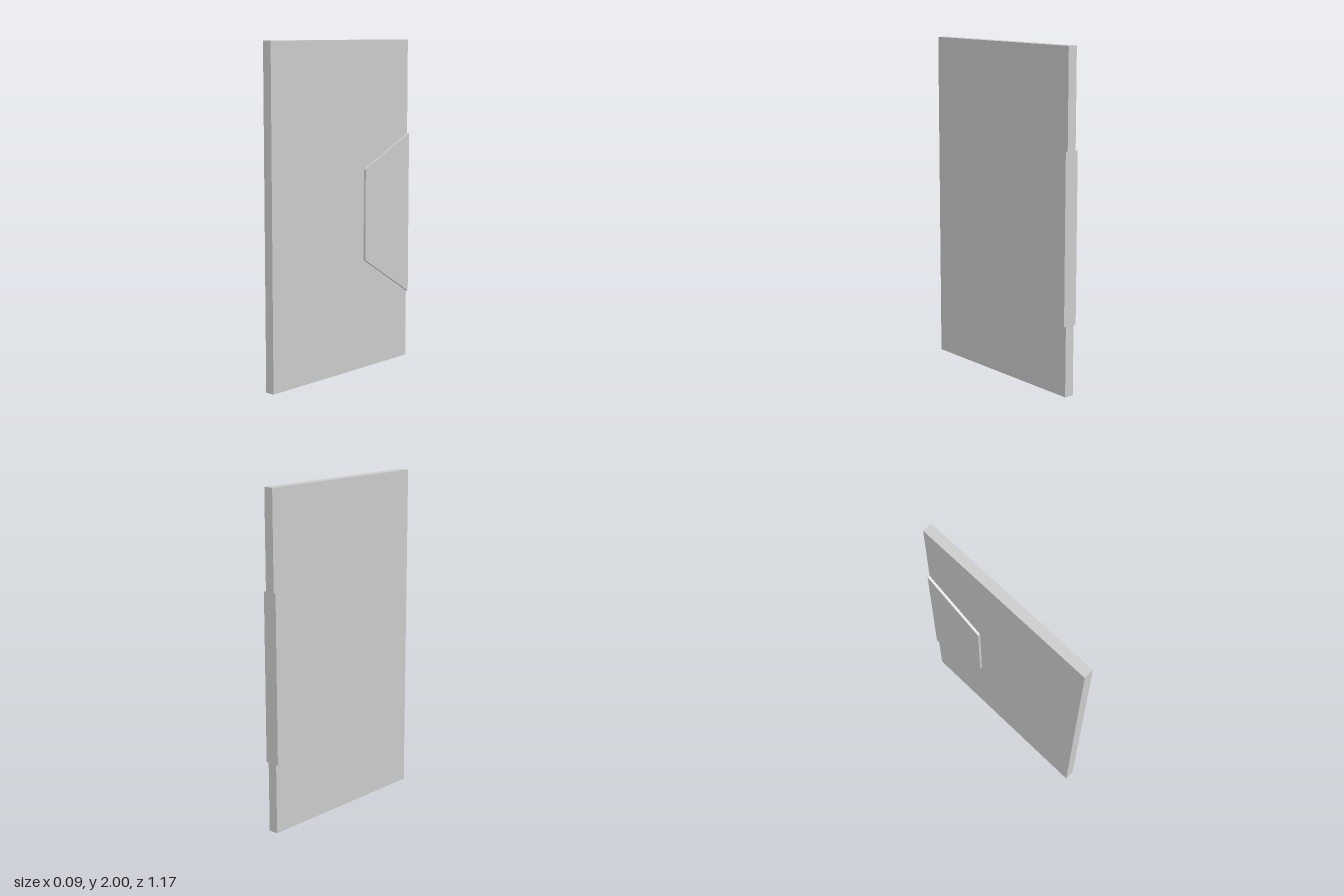
import * as THREE from 'three';

const HEIGHT = 2, DEPTH = 1.174, PANEL_THICKNESS = 0.06, CLASP_THICKNESS = 0.09;

export function createModel() {
  const group = new THREE.Group();
  const material = new THREE.MeshStandardMaterial({ color: 0xcccccc, flatShading: true });

  // Tall flat slab
  const panel = new THREE.Mesh(new THREE.BoxGeometry(PANEL_THICKNESS, HEIGHT, DEPTH), material);
  panel.name = 'panel';
  panel.position.y = HEIGHT / 2;
  group.add(panel);

  // Tapered clasp wrapping the back edge; profile in (z, y), a hair proud of the edge
  const back = -DEPTH / 2 - 0.001;
  const profile = new THREE.Shape([
    [back, 0.42], [-0.183, 0.672], [-0.183, 1.228], [back, 1.422],
  ].map(([z, y]) => new THREE.Vector2(z, y)));
  const claspGeometry = new THREE.ExtrudeGeometry(profile, { depth: CLASP_THICKNESS, bevelEnabled: false });
  claspGeometry.translate(0, 0, -CLASP_THICKNESS / 2);
  claspGeometry.rotateY(-Math.PI / 2);
  const clasp = new THREE.Mesh(claspGeometry, material);
  clasp.name = 'edgeClasp';
  group.add(clasp);

  return group;
}
